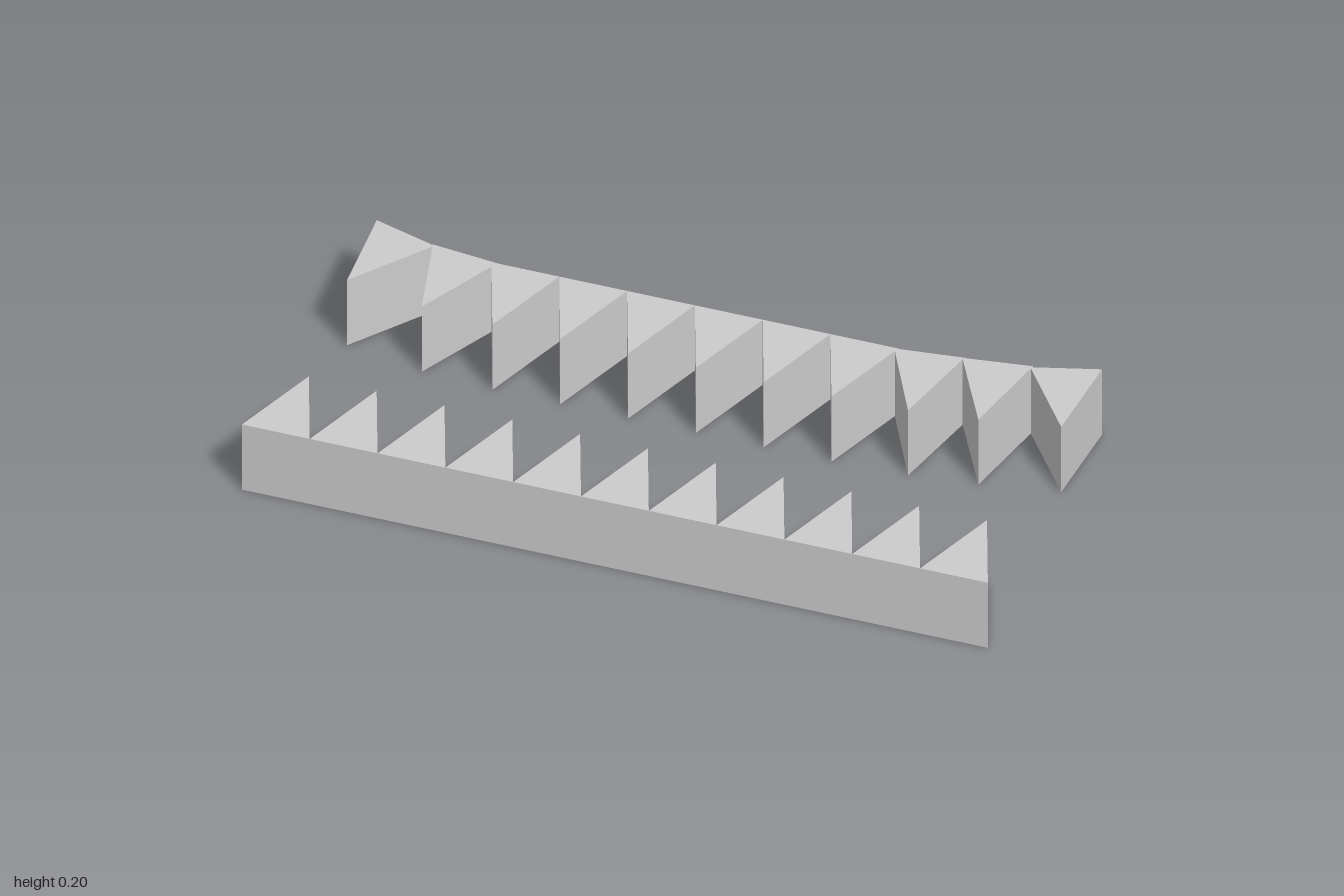
import * as THREE from 'three';

const PITCH = 2 / 11, DEPTH = 0.249, HEIGHT = 0.205;

export function createModel() {
  const model = new THREE.Group();
  model.name = 'toothedRows';
  const material = new THREE.MeshStandardMaterial({ color: 0xcccccc, flatShading: true });

  // One upright triangular tooth: base centred on the origin, tip towards -z
  const outline = new THREE.Shape([
    new THREE.Vector2(-PITCH / 2, 0),
    new THREE.Vector2(PITCH / 2, 0),
    new THREE.Vector2(0, DEPTH),
  ]);
  const toothGeometry = new THREE.ExtrudeGeometry(outline, { depth: HEIGHT, bevelEnabled: false });
  toothGeometry.rotateX(-Math.PI / 2);

  function addTooth(row, name, x, z, angle) {
    const tooth = new THREE.Mesh(toothGeometry, material);
    tooth.name = name;
    tooth.position.set(x, 0, z);
    tooth.rotation.y = angle;
    row.add(tooth);
  }

  const frontRow = new THREE.Group();
  frontRow.name = 'frontRow';
  const backRow = new THREE.Group();
  backRow.name = 'backRow';
  model.add(frontRow, backRow);

  // Back teeth that fan outwards at the ends: index -> [x, z, lean in degrees]
  const fanned = {
    0: [-0.882, -0.429, -17],
    1: [-0.711, -0.396, -6.5],
    8: [0.535, -0.393, 7],
    9: [0.71, -0.415, 8.3],
    10: [0.882, -0.448, 16.7],
  };

  for (let i = 0; i < 11; i++) {
    const x = (i - 5) * PITCH;
    addTooth(frontRow, 'frontTooth' + (i + 1), x, 0.474, 0);
    const [bx, bz, lean] = fanned[i] ?? [x, -0.385, 0];
    addTooth(backRow, 'backTooth' + (i + 1), bx, bz, Math.PI + THREE.MathUtils.degToRad(lean));
  }
  return model;
}
